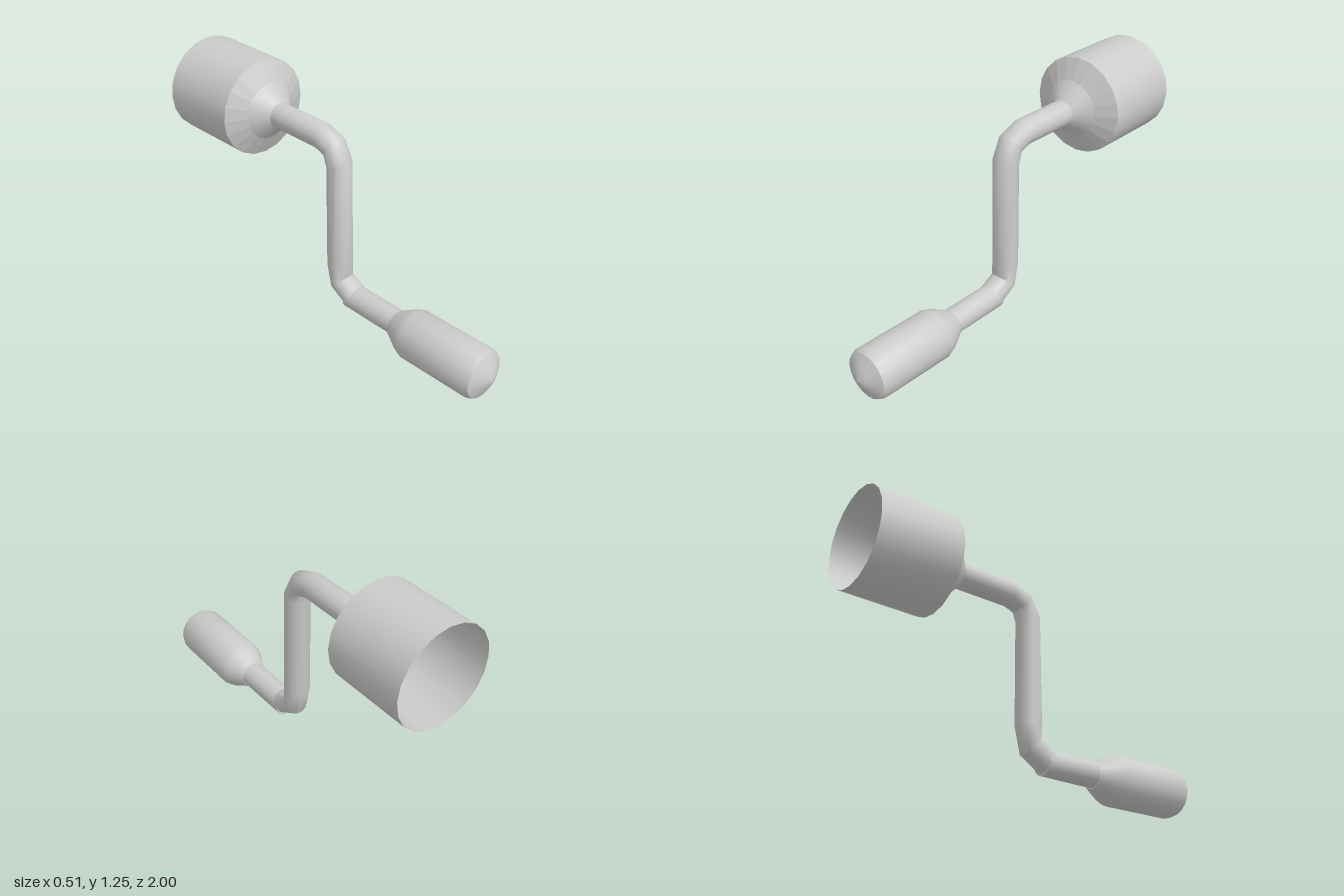
import * as THREE from 'three';
import { toCreasedNormals } from 'three/addons/utils/BufferGeometryUtils.js';

const SIDES = 20;
const R = 0.067; // rod radius

function material(options = {}) {
  return new THREE.MeshStandardMaterial({ color: 0xcccccc, ...options });
}

// Turned part along z from [z, radius] pairs, z rising.
function turned(name, profile, y, options) {
  const points = profile.map(([z, r]) => new THREE.Vector2(r, z));
  const geometry = new THREE.LatheGeometry(points, SIDES).rotateX(Math.PI / 2);
  const mesh = new THREE.Mesh(toCreasedNormals(geometry, 0.6), material(options));
  mesh.name = name;
  mesh.position.y = y;
  return mesh;
}

// Round rod through oval rings, each given by its front and back edge: [zF, yF, zB, yB].
function bentRod(name, rings) {
  const positions = [];
  const index = [];
  rings.forEach(([zF, yF, zB, yB], i) => {
    for (let j = 0; j < SIDES; j++) {
      const a = (j / SIDES) * Math.PI * 2;
      const c = Math.cos(a) / 2;
      positions.push(R * Math.sin(a), (yF + yB) / 2 + c * (yF - yB), (zF + zB) / 2 + c * (zF - zB));
      if (i === rings.length - 1) continue;
      const p = i * SIDES + j;
      const q = i * SIDES + ((j + 1) % SIDES);
      index.push(p, p + SIDES, q, q, p + SIDES, q + SIDES);
    }
  });
  const geometry = new THREE.BufferGeometry();
  geometry.setAttribute('position', new THREE.Float32BufferAttribute(positions, 3));
  geometry.setIndex(index);
  const mesh = new THREE.Mesh(toCreasedNormals(geometry, 0.8), material({ side: THREE.DoubleSide }));
  mesh.name = name;
  return mesh;
}

export function createModel() {
  const group = new THREE.Group();
  group.name = 'handCrank';

  // Hollow socket, open at the back, with a faceted shoulder and a smooth neck
  const open = { side: THREE.DoubleSide };
  group.add(
    turned('socketWall', [[-1, 0.256], [-0.565, 0.256]], 0.998, open),
    turned('socketShoulder', [[-0.565, 0.256], [-0.51, 0.15]], 0.998, { ...open, flatShading: true }),
    turned('socketNeck', [[-0.51, 0.15], [-0.435, R]], 0.998, open)
  );

  // Crank arm: shaft, upper bend, upright, lower bend
  group.add(bentRod('crankArm', [
    [-0.435, 1.064, -0.435, 0.931],
    [-0.13, 1.064, -0.13, 0.931],
    [-0.01, 1.018, -0.08, 0.915],
    [0.05, 0.9, -0.07, 0.87],
    [0.06, 0.3, -0.072, 0.31],
    [0.055, 0.245, -0.035, 0.16],
    [0.13, 0.21, 0.08, 0.09],
  ]));

  // Short spindle that carries the grip
  group.add(turned('gripSpindle', [[0.08, 0], [0.08, R], [0.42, R]], 0.145));

  // Rounded grip, tipped very slightly upward
  const grip = turned('grip', [
    [0.39, 0], [0.39, R], [0.48, 0.118], [0.52, 0.132],
    [0.915, 0.132], [0.945, 0.12], [0.98, 0.052], [1, 0],
  ], 0.131);
  grip.rotation.x = -0.016;
  group.add(grip);

  return group;
}
